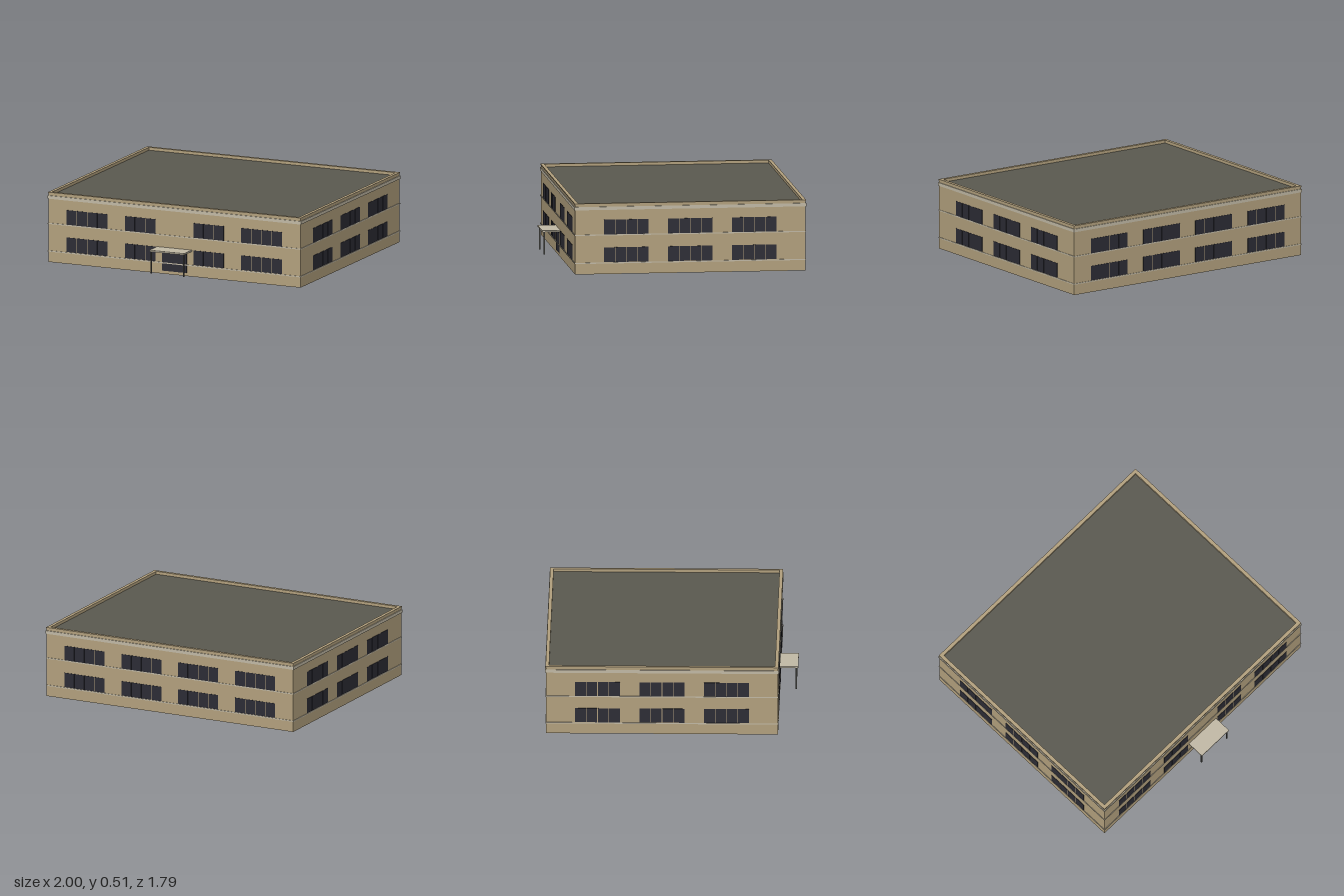
import * as THREE from 'three';

const material = (name, color, side = THREE.FrontSide) => {
  const m = new THREE.MeshStandardMaterial({ color, side });
  m.name = name;
  return m;
};

export function createModel() {
  const wall = material('tan wall', 0xb3a17e, THREE.DoubleSide);
  const trim = material('pale trim', 0xc2baa6);
  const roofing = material('grey roofing', 0x5a5950);
  const glass = material('dark glass', 0x2c2c35);
  const metal = material('dark metal', 0x54544f);

  const model = new THREE.Group();
  model.name = 'officeBuilding';
  const HX = 0.994, HZ = 0.828, CZ = -0.063; // wall half sizes and centre depth

  const add = (name, geometry, mat, parent = model) => {
    const mesh = new THREE.Mesh(geometry, mat);
    mesh.name = name;
    parent.add(mesh);
    return mesh;
  };
  const box = (name, w, h, d, x, y, z, mat, parent) => {
    const mesh = add(name, new THREE.BoxGeometry(w, h, d), mat, parent);
    mesh.position.set(x, y, z);
    return mesh;
  };

  // Rectangular ring round the building, standing out from the wall line
  const ring = (name, out, thick, y0, y1, mat) => {
    const rect = (path, x, z) =>
      path.moveTo(-x, -z).lineTo(x, -z).lineTo(x, z).lineTo(-x, z).closePath();
    const shape = rect(new THREE.Shape(), HX + out, HZ + out);
    shape.holes.push(rect(new THREE.Path(), HX + out - thick, HZ + out - thick));
    const g = new THREE.ExtrudeGeometry(shape, { depth: y1 - y0, bevelEnabled: false });
    g.rotateX(-Math.PI / 2);
    add(name, g, mat).position.set(0, y0, CZ);
  };

  // Shell, open underneath, with a parapet and a sunken roof
  ring('walls', 0, 0.003, 0, 0.486, wall);
  ring('parapet', 0, 0.022, 0.486, 0.502, wall);
  ring('coping', 0.003, 0.025, 0.502, 0.51, wall);
  box('roof', HX * 2 - 0.006, 0.006, HZ * 2 - 0.006, 0, 0.486, CZ, roofing);

  // Bands
  ring('cornice', 0.006, 0.006, 0.463, 0.486, trim);
  ring('lowerBelt', 0.004, 0.004, 0.076, 0.084, trim);
  ring('upperBelt', 0.004, 0.004, 0.278, 0.286, trim);

  // Window rows: each facade lists [centre, pane count] along its own width
  const facades = [
    ['front', 0, HZ, [[-0.688, 4], [-0.27, 3], [0.27, 3], [0.688, 4]]],
    ['back', Math.PI, HZ, [[-0.688, 4], [-0.228, 4], [0.228, 4], [0.688, 4]]],
    ['left', Math.PI / 2, HX, [[-0.46, 4], [0, 4], [0.46, 4]]],
    ['right', -Math.PI / 2, HX, [[-0.46, 4], [0, 4], [0.46, 4]]],
  ];
  const PITCH = 0.0813, GAP = 0.004;
  for (const [side, angle, distance, groups] of facades) {
    const facade = new THREE.Group();
    facade.name = side + 'Windows';
    facade.position.z = CZ;
    facade.rotation.y = angle;
    model.add(facade);
    for (const y of [0.139, 0.339])
      for (const [centre, panes] of groups)
        for (let i = 0; i < panes; i++)
          box('windowPane', PITCH - GAP, 0.106, 0.003,
            centre + (i - (panes - 1) / 2) * PITCH, y, distance + 0.001, glass, facade);
  }

  // Entrance under a canopy on two posts
  const front = CZ + HZ;
  box('entranceDoor', 0.195, 0.146, 0.003, 0, 0.095, front + 0.001, glass);
  box('canopy', 0.274, 0.011, 0.13, 0, 0.188, front + 0.065, trim);
  for (const s of [-1, 1])
    box('canopyPost', 0.009, 0.163, 0.009, s * 0.128, 0.1015, 0.881, metal);

  return model;
}
